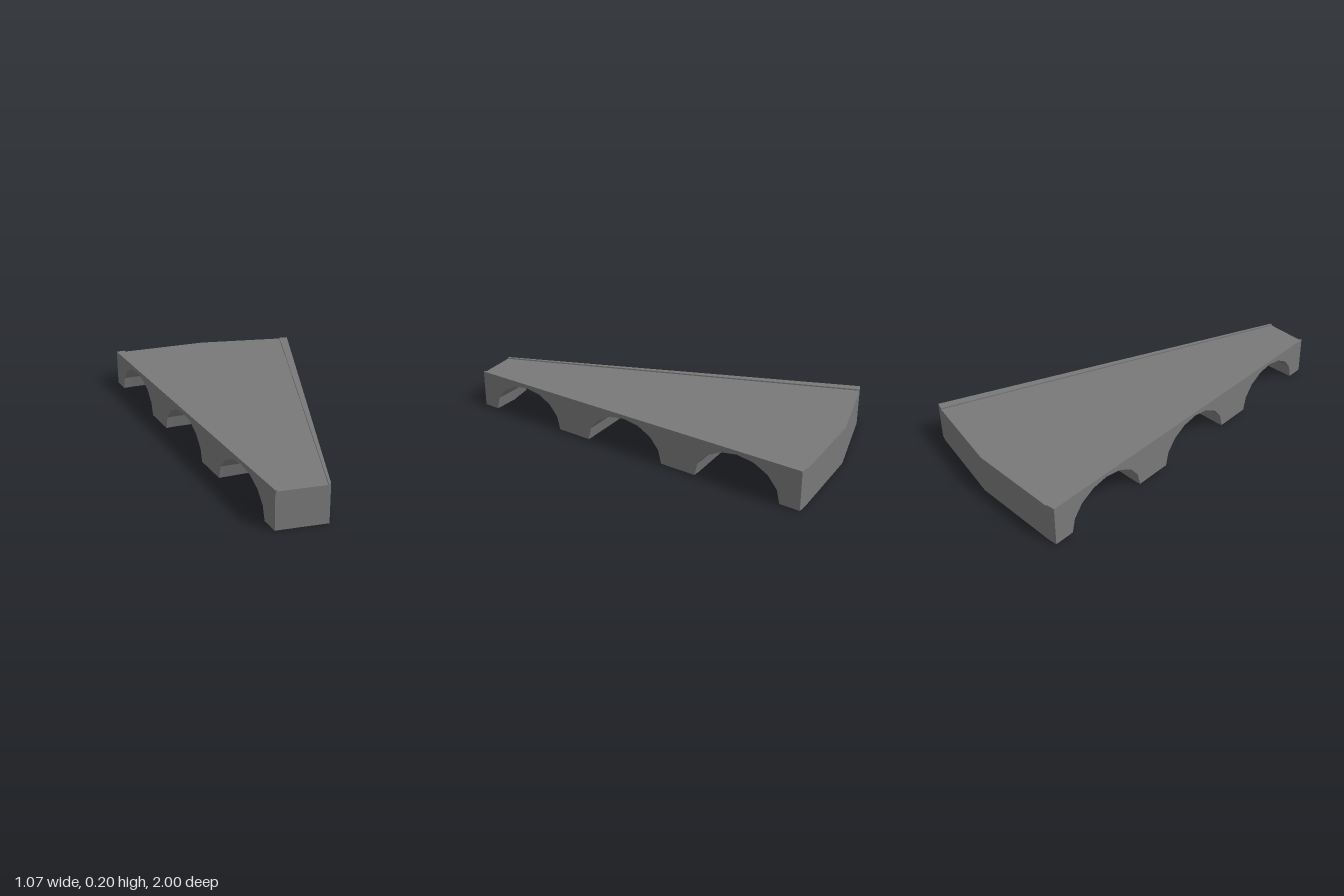
import * as THREE from 'three';

const APEX = 1.59;               // z of the point the wedge radiates from
const R0 = 0.593, R1 = 2.59;     // inner and outer radius
const DEG = Math.PI / 180;
const EDGE = 11.92, INNER = 10.87; // wedge half angle, inner edge of the rims
const DECK = 0.19, TOP = 0.197;

// Sweeps a (radius, height) profile through a list of angles in degrees
function sweep(shape, angles) {
  const steps = angles.length - 1;
  const geo = new THREE.ExtrudeGeometry(shape, { depth: steps, steps, bevelEnabled: false });
  const p = geo.attributes.position;
  for (let i = 0; i < p.count; i++) {
    const r = p.getX(i), a = angles[Math.round(p.getZ(i))] * DEG;
    // the inner end is cut flat, the rest follows the arc
    const k = r < R0 + 0.001 ? r / Math.cos(a) : r;
    p.setXYZ(i, k * Math.sin(a), p.getY(i), APEX - k * Math.cos(a));
  }
  geo.computeVertexNormals();
  return geo;
}

function part(name, geo, material) {
  const mesh = new THREE.Mesh(geo, material);
  mesh.name = name;
  return mesh;
}

export function createModel() {
  const group = new THREE.Group();
  group.name = 'archedWedge';
  const mat = new THREE.MeshStandardMaterial({ color: 0x787878, flatShading: true });

  // Body with three arched tunnels running across it
  const body = new THREE.Shape();
  body.moveTo(R0, 0);
  for (const c of [0.931, 1.593, 2.254]) {
    for (let i = 0; i <= 8; i++) {
      const t = Math.PI * (1 - i / 8);
      body.lineTo(c + 0.232 * Math.cos(t), 0.178 * Math.sin(t));
    }
  }
  body.lineTo(R1, 0);
  body.lineTo(R1, DECK);
  body.lineTo(R0, DECK);
  body.closePath();
  group.add(part('archedBody', sweep(body, [-EDGE, -INNER, 0, INNER, EDGE]), mat));

  // Thin raised rims along both sides of the deck
  const rim = new THREE.Shape([
    new THREE.Vector2(R0, DECK), new THREE.Vector2(R1, DECK),
    new THREE.Vector2(R1, TOP), new THREE.Vector2(R0, TOP),
  ]);
  group.add(part('leftRim', sweep(rim, [INNER, EDGE]), mat));
  group.add(part('rightRim', sweep(rim, [-EDGE, -INNER]), mat));

  // Small nub at the front end of the right rim
  const nub = part('frontNub', new THREE.BoxGeometry(0.01, 0.014, 0.01), mat);
  nub.position.set(-0.119, 0.187, 0.995);
  group.add(nub);

  return group;
}
